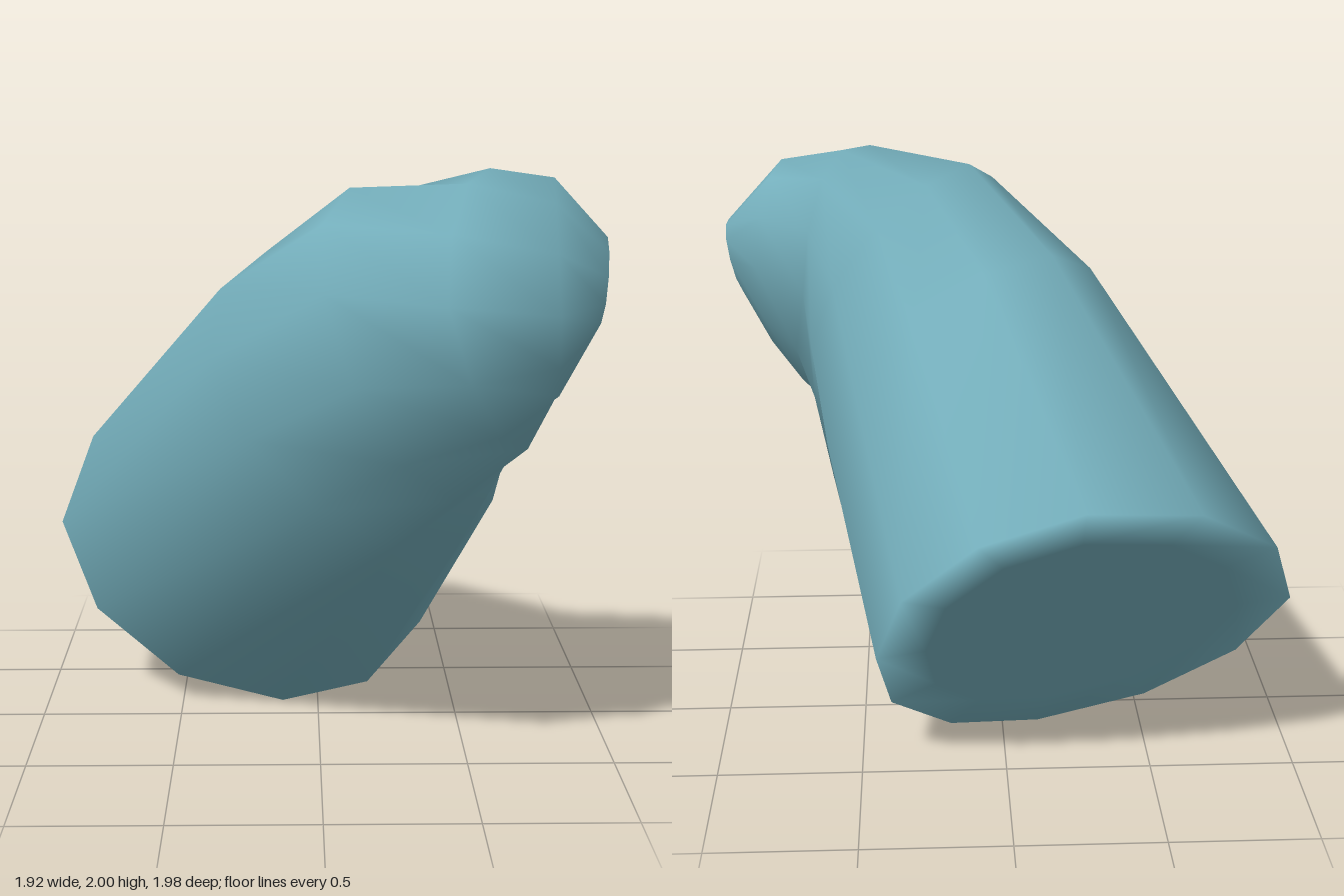
import * as THREE from 'three';

const SIDES = 12;

// Each cross-section is given by its inner, top, outer and bottom points
const sections = [
  [[0.44, 0.49, -0.62], [-0.22, 1.14, -0.99], [-0.97, 0.61, -0.45], [-0.13, 0, -0.14]],
  [[0.61, 1.04, -0.02], [0.06, 1.67, -0.13], [-0.36, 1.39, 0.46], [0.25, 0.78, 0.56]],
  [[0.66, 1.37, 0.07], [0.25, 1.91, 0.18], [0, 1.65, 0.84], [0.43, 0.96, 0.68]],
  [[0.68, 1.57, 0.04], [0.55, 2, 0.38], [0.37, 1.63, 0.99], [0.67, 1.11, 0.57]],
  [[0.84, 1.65, 0.07], [0.76, 1.97, 0.38], [0.73, 1.58, 0.83], [0.78, 1.27, 0.45]],
  [[0.94, 1.65, 0.2], [0.95, 1.77, 0.32], [0.91, 1.58, 0.56], [0.9, 1.48, 0.38]],
];

// Closed ring made of four elliptical quarters through the given points
function makeRing(section) {
  const [inner, top, outer, bottom] = section.map((p) => new THREE.Vector3(...p));
  const center = new THREE.Vector3().add(inner).add(top).add(outer).add(bottom).multiplyScalar(0.25);
  const points = [];
  for (let j = 0; j < SIDES; j++) {
    const angle = (j / SIDES) * Math.PI * 2;
    const c = Math.cos(angle);
    const s = Math.sin(angle);
    points.push(center.clone()
      .addScaledVector((c > 0 ? inner : outer).clone().sub(center), Math.abs(c))
      .addScaledVector((s > 0 ? top : bottom).clone().sub(center), Math.abs(s)));
  }
  return { center, points };
}

// Skin over the rings, closed at both ends
function makeBentBody() {
  const rings = sections.map(makeRing);
  // Smaller ring inside the base rim keeps the end face flat
  const base = rings[0];
  rings.unshift({ center: base.center, points: base.points.map((p) => p.clone().lerp(base.center, 0.25)) });
  const vertices = rings.flatMap((r) => r.points);
  const index = [];
  const at = (i, j) => i * SIDES + (j % SIDES);
  for (let i = 0; i < rings.length - 1; i++) {
    for (let j = 0; j < SIDES; j++) {
      index.push(at(i, j), at(i, j + 1), at(i + 1, j + 1));
      index.push(at(i, j), at(i + 1, j + 1), at(i + 1, j));
    }
  }
  const last = rings.length - 1;
  const baseCenter = vertices.push(base.center) - 1;
  const tipCenter = vertices.push(rings[last].center.clone().add(new THREE.Vector3(0.02, 0, 0))) - 1;
  for (let j = 0; j < SIDES; j++) {
    index.push(baseCenter, at(0, j + 1), at(0, j));
    index.push(tipCenter, at(last, j), at(last, j + 1));
  }
  const geometry = new THREE.BufferGeometry().setFromPoints(vertices);
  geometry.setIndex(index);
  geometry.computeVertexNormals();
  return geometry;
}

export function createModel() {
  const group = new THREE.Group();
  group.name = 'bentStub';
  const teal = new THREE.MeshStandardMaterial({ color: 0x74aebb });
  teal.name = 'dusty teal';
  const body = new THREE.Mesh(makeBentBody(), teal);
  body.name = 'bentBody';
  group.add(body);
  return group;
}
